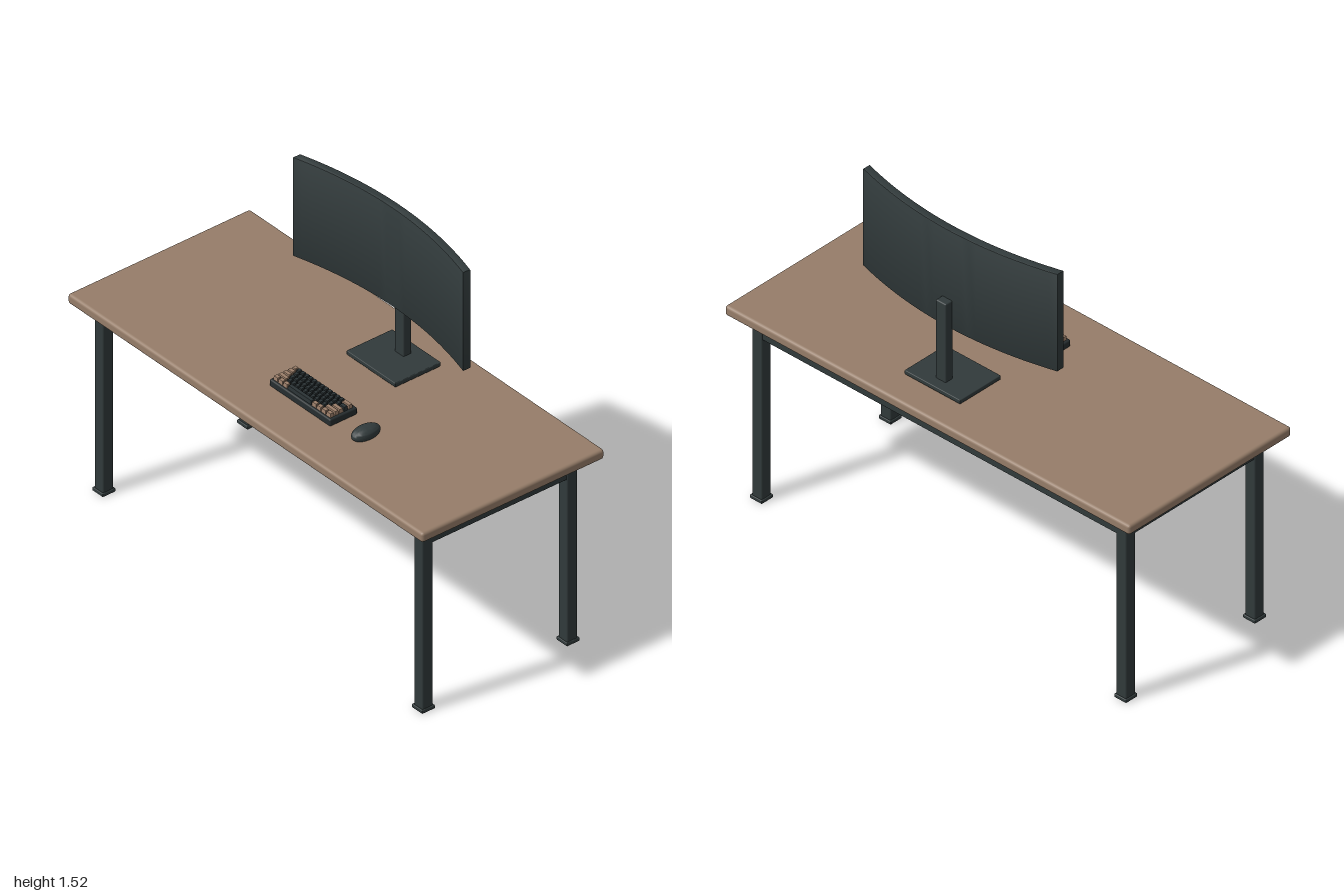
import * as THREE from 'three';
import { toCreasedNormals } from 'three/addons/utils/BufferGeometryUtils.js';
import { RoundedBoxGeometry } from 'three/addons/geometries/RoundedBoxGeometry.js';

function material(name, color) {
  const m = new THREE.MeshStandardMaterial({ color });
  m.name = name;
  return m;
}

export function createModel() {
  const wood = material('wood', 0x967d69);
  const metal = material('dark metal', 0x313a3b);
  const caseDark = material('keyboard case', 0x262d2f);
  const keyDark = material('dark keycap', 0x2b3335);
  const keyTan = material('tan keycap', 0x9c7f6a);

  const model = new THREE.Group();
  model.name = 'desk';

  function add(parent, name, geometry, mat, x = 0, y = 0, z = 0) {
    const mesh = new THREE.Mesh(geometry, mat);
    mesh.name = name;
    mesh.position.set(x, y, z);
    parent.add(mesh);
    return mesh;
  }
  const rounded = (w, h, d, r) => new RoundedBoxGeometry(w, h, d, 2, r);
  function group(name) {
    const g = new THREE.Group();
    g.name = name;
    model.add(g);
    return g;
  }

  // Desk top
  add(model, 'tabletop', rounded(2, 0.042, 0.852, 0.012), wood, 0, 0.824, 0);

  // Legs with feet, side rails and back rail
  const frame = group('frame');
  const legX = 0.9, legZ = 0.338;
  for (const sx of [-1, 1]) {
    for (const sz of [-1, 1]) {
      add(frame, 'leg', rounded(0.05, 0.8, 0.05, 0.006), metal, sx * legX, 0.405, sz * legZ);
      add(frame, 'foot', rounded(0.06, 0.015, 0.06, 0.003), metal, sx * legX, 0.0075, sz * legZ);
    }
    add(frame, 'sideRail', rounded(0.042, 0.054, 2 * legZ - 0.04, 0.004), metal, sx * legX, 0.745, 0);
  }
  add(frame, 'backRail', rounded(2 * legX - 0.04, 0.054, 0.042, 0.004), metal, 0, 0.745, -legZ);

  // Monitor: base plate, stem and curved screen
  const monitor = group('monitor');
  const mx = 0.09;
  add(monitor, 'monitorBase', rounded(0.275, 0.018, 0.214, 0.003), metal, mx, 0.864, -0.195);
  add(monitor, 'monitorStem', rounded(0.05, 0.35, 0.038, 0.005), metal, mx, 1.042, -0.239);

  const bevel = 0.004, halfWidth = 0.48 - bevel, steps = 28;
  const bow = (x, z0) => new THREE.Vector2(x, z0 + 0.3 * x * x);
  const outline = [];
  for (let i = 0; i <= steps; i++) {
    outline.push(bow(-halfWidth + (2 * halfWidth * i) / steps, -0.224 + bevel));
  }
  for (let i = steps; i >= 0; i--) {
    outline.push(bow(-halfWidth + (2 * halfWidth * i) / steps, -0.19 - bevel));
  }
  const screen = new THREE.ExtrudeGeometry(new THREE.Shape(outline), {
    depth: 0.43 - 2 * bevel, bevelEnabled: true, bevelSize: bevel, bevelThickness: bevel, bevelSegments: 2,
  });
  screen.rotateX(Math.PI / 2);
  add(monitor, 'screen', toCreasedNormals(screen, 0.5), metal, mx, 1.52 - bevel, 0);

  // Keyboard: case and five rows of tapered keycaps
  const keyboard = group('keyboard');
  add(keyboard, 'keyboardCase', rounded(0.342, 0.03, 0.128, 0.006), caseDark, 0.09, 0.86, 0.18);

  function keycap(w, d) {
    const g = new THREE.BoxGeometry(w, 0.02, d);
    const p = g.attributes.position;
    for (let i = 0; i < p.count; i++) {
      if (p.getY(i) > 0) {
        p.setX(i, p.getX(i) - Math.sign(p.getX(i)) * 0.0025);
        p.setZ(i, p.getZ(i) - Math.sign(p.getZ(i)) * 0.0025);
      }
    }
    g.computeVertexNormals();
    return g;
  }
  // Each row lists [width in key units, count, tan]
  const rows = [
    [[1, 1, 1], [1, 12, 0], [2, 1, 1]],
    [[1.5, 1, 1], [1, 12, 0], [1.5, 1, 0]],
    [[1.75, 1, 1], [1, 11, 0], [2.25, 1, 1]],
    [[2.25, 1, 1], [1, 10, 0], [2.75, 1, 1]],
    [[1.25, 3, 1], [6.25, 1, 0], [1.25, 4, 1]],
  ];
  const unit = 0.0216;
  rows.forEach((row, r) => {
    let x = 0.09 - 7.5 * unit;
    for (const [width, count, tan] of row) {
      for (let i = 0; i < count; i++) {
        const w = width * unit;
        add(keyboard, 'key', keycap(w - 0.002, unit - 0.002), tan ? keyTan : keyDark,
          x + w / 2, 0.881, 0.182 + (r - 2) * unit);
        x += w;
      }
    }
  });

  // Mouse: ellipsoid with a flat underside
  const mouse = new THREE.SphereGeometry(1, 28, 18);
  mouse.scale(0.036, 0.028, 0.063);
  const mp = mouse.attributes.position;
  for (let i = 0; i < mp.count; i++) mp.setY(i, Math.max(mp.getY(i), -0.015));
  add(model, 'mouse', toCreasedNormals(mouse, 0.6), metal, 0.385, 0.86, 0.18);

  return model;
}
